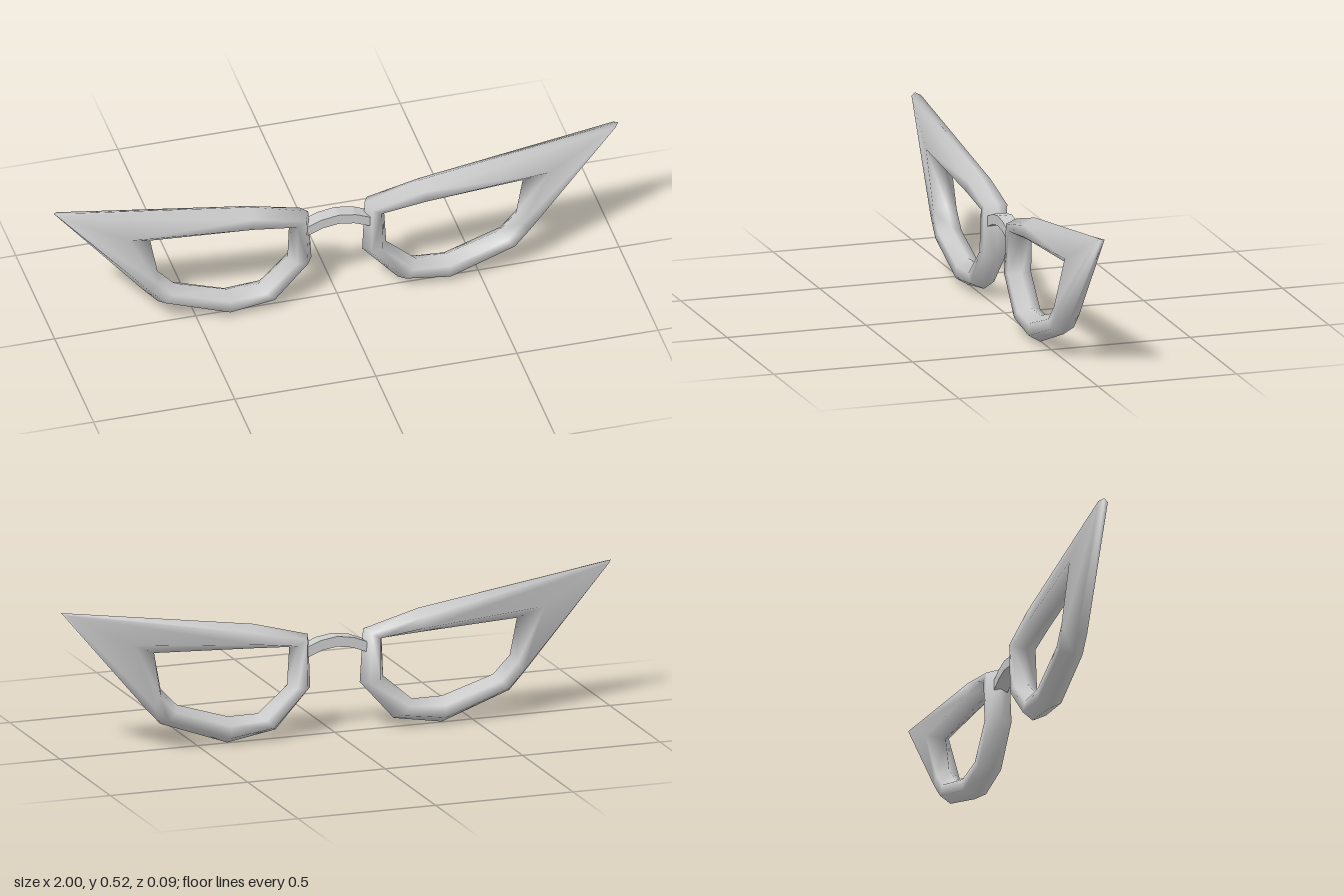
import * as THREE from 'three';

const grey = () => new THREE.MeshStandardMaterial({ color: 0xcccccc });

// Stations round one rim: outer x, y, inner x, y
const stations = [
  [1.0, 0.52, 0.66, 0.345],
  [0.685, 0.145, 0.635, 0.215],
  [0.635, 0.09, 0.575, 0.152],
  [0.39, 0.0, 0.39, 0.093],
  [0.215, 0.03, 0.28, 0.093],
  [0.09, 0.17, 0.175, 0.185],
  [0.10, 0.36, 0.168, 0.32],
  [0.30, 0.415, 0.31, 0.328],
];

// Cross-sections as [fraction from outer to inner edge, depth]
const rimSection = [[0, 0], [0.27, 0.042], [0.73, 0.042], [1, 0], [0.73, -0.042], [0.27, -0.042]];
const tipSection = [[0, 0], [0.04, 0.017], [0.75, 0.042], [1, 0], [0.75, -0.042], [0.04, -0.017]];

// Closed ring of hexagonal sections; side = 1 for left, -1 for right
function rimGeometry(side) {
  const pos = [], index = [], n = stations.length, m = rimSection.length;
  stations.forEach(([ox, oy, ix, iy], i) => {
    for (const [t, z] of i === 0 ? tipSection : rimSection) {
      const y = oy + (iy - oy) * t;
      // the rims lean back slightly towards the top
      pos.push(side * (ox + (ix - ox) * t), y, z + 0.004 - 0.03 * y);
    }
    for (let j = 0; j < m; j++) {
      const i2 = (i + 1) % n, j2 = (j + 1) % m;
      const a = i * m + j, b = i2 * m + j, c = i2 * m + j2, d = i * m + j2;
      if (side > 0) index.push(a, d, c, a, c, b);
      else index.push(a, c, d, a, b, c);
    }
  });
  const g = new THREE.BufferGeometry();
  g.setAttribute('position', new THREE.Float32BufferAttribute(pos, 3));
  g.setIndex(index);
  g.computeVertexNormals();
  return g;
}

// Arched flat strip joining the rims
function bridgeGeometry() {
  const top = [[-0.115, 0.315], [-0.06, 0.337], [0, 0.346], [0.06, 0.337], [0.115, 0.315]];
  const bottom = [[0.11, 0.28], [0.055, 0.302], [0, 0.31], [-0.055, 0.302], [-0.11, 0.28]];
  const shape = new THREE.Shape([...top, ...bottom].map(([x, y]) => new THREE.Vector2(x, y)));
  const g = new THREE.ExtrudeGeometry(shape, { depth: 0.05, bevelEnabled: false });
  g.translate(0, 0, -0.025);
  return g;
}

export function createModel() {
  const group = new THREE.Group();
  group.name = 'spectacleFrame';
  for (const [name, side] of [['leftRim', 1], ['rightRim', -1]]) {
    const rim = new THREE.Mesh(rimGeometry(side), grey());
    rim.name = name;
    group.add(rim);
  }
  const bridge = new THREE.Mesh(bridgeGeometry(), grey());
  bridge.name = 'bridge';
  group.add(bridge);
  return group;
}
